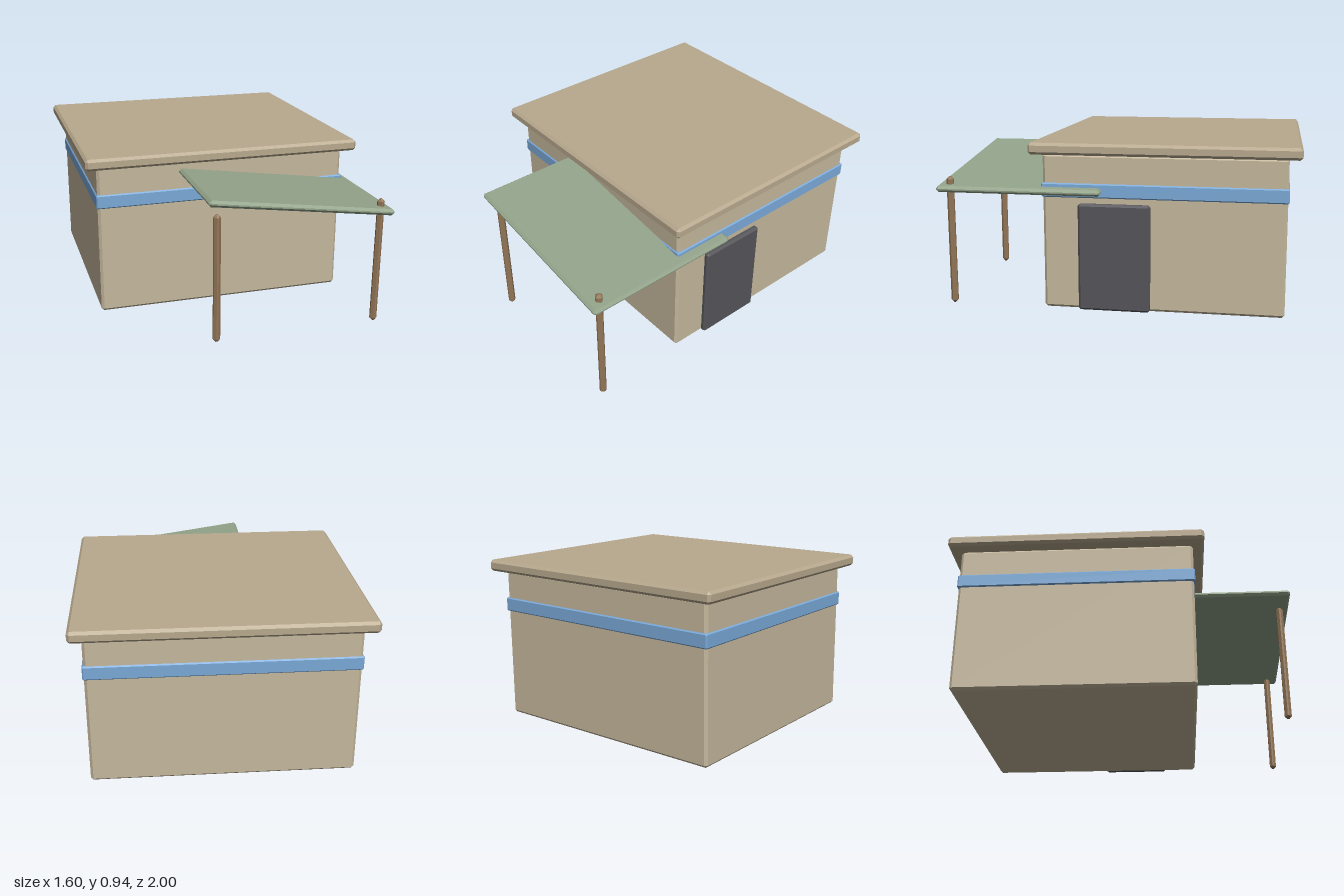
import * as THREE from 'three';
import { ConvexGeometry } from 'three/addons/geometries/ConvexGeometry.js';

// Box with bevelled edges and corners, centred on its own origin
function bevelBox(w, h, d, c) {
  const half = [w / 2, h / 2, d / 2];
  const points = [];
  for (const sx of [-1, 1]) for (const sy of [-1, 1]) for (const sz of [-1, 1]) {
    for (let face = 0; face < 3; face++) {
      const e = half.map((v, i) => (i === face ? v : v - c));
      points.push(new THREE.Vector3(sx * e[0], sy * e[1], sz * e[2]));
    }
  }
  return new ConvexGeometry(points);
}

export function createModel() {
  const model = new THREE.Group();
  model.name = 'smallBuilding';

  const paint = (color) => new THREE.MeshStandardMaterial({ color, flatShading: true });
  const wall = paint(0xc4b79c);
  const roofing = paint(0xb8a98e);
  const blue = paint(0x7aa9d8);
  const green = paint(0x93a38a);
  const dark = paint(0x55555a);
  const wood = paint(0x947758);

  // Adds a bevelled block given by its extents on each axis
  function block(name, material, [x0, x1], [y0, y1], [z0, z1], bevel = 0.015) {
    const mesh = new THREE.Mesh(bevelBox(x1 - x0, y1 - y0, z1 - z0, bevel), material);
    mesh.position.set((x0 + x1) / 2, (y0 + y1) / 2, (z0 + z1) / 2);
    mesh.name = name;
    model.add(mesh);
    return mesh;
  }

  // Main building with overhanging flat roof and painted stripe
  block('walls', wall, [-0.732, 0.732], [0, 0.87], [-0.932, 0.4]);
  block('roof', roofing, [-0.8, 0.8], [0.87, 0.935], [-1, 0.465]);
  block('stripe', blue, [-0.739, 0.739], [0.63, 0.71], [-0.939, 0.407], 0.007);
  block('door', dark, [0.72, 0.76], [0, 0.6], [-0.2, 0.2], 0.012);

  // Sloping awning across the front corner
  const awning = block('awning', green, [-0.267, 0.793], [0.719, 0.755], [0.07, 1], 0.014);
  awning.rotation.z = -0.142;

  // Awning posts
  for (const [name, x] of [['rightPost', -0.2], ['leftPost', 0.732]]) {
    block(name, wood, [x - 0.02, x + 0.02], [0, 0.73], [0.912, 0.952]);
  }

  return model;
}
